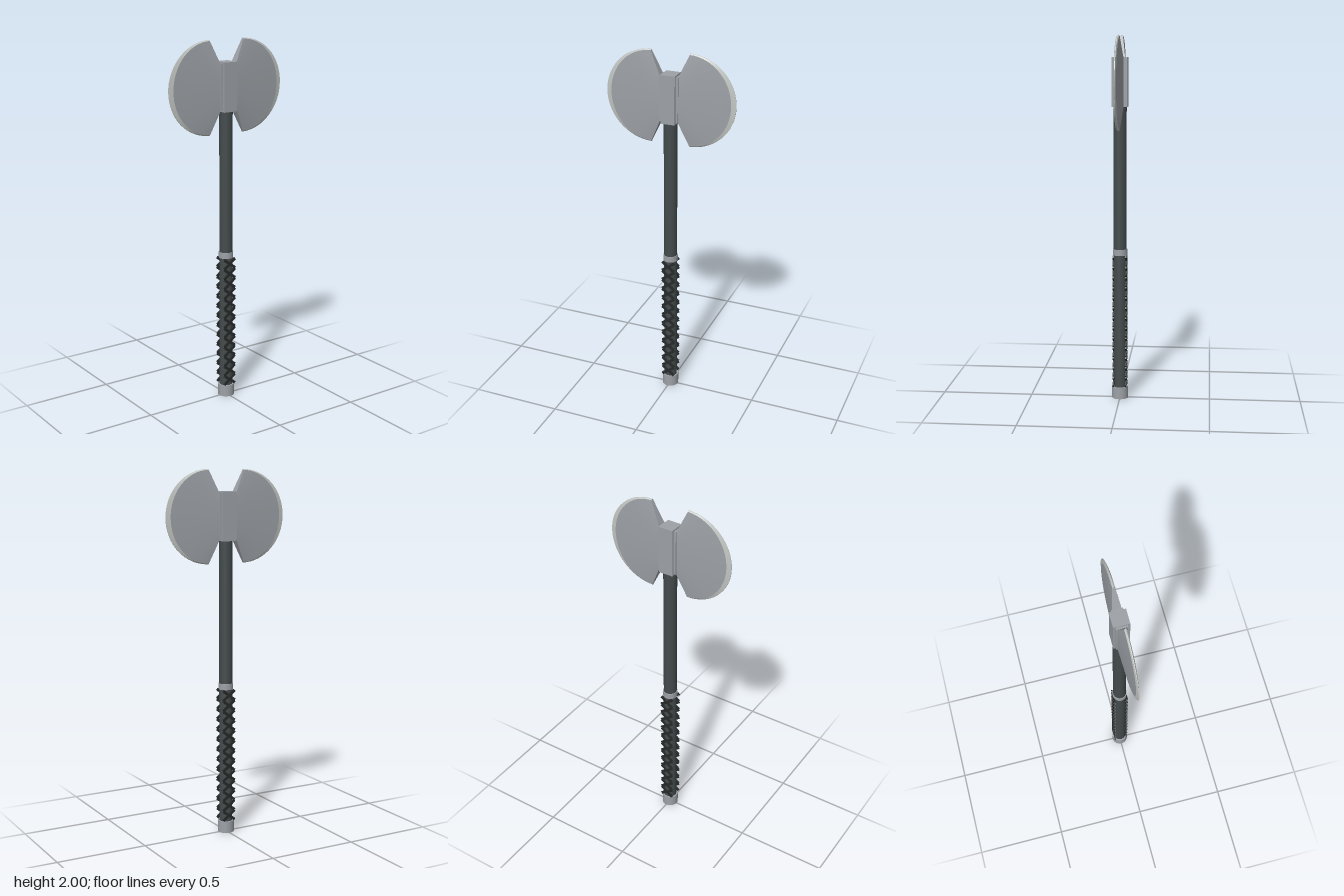
import * as THREE from 'three';

const mat = (name, color) => Object.assign(new THREE.MeshStandardMaterial({ color }), { name });

// Quads between two matching polylines
function strip(a, b) {
  const pos = [], idx = [];
  a.forEach((p, i) => {
    pos.push(...p, ...b[i]);
    if (i === 0) return;
    const k = 2 * (i - 1);
    idx.push(k, k + 2, k + 3, k, k + 3, k + 1);
  });
  const g = new THREE.BufferGeometry();
  g.setAttribute('position', new THREE.Float32BufferAttribute(pos, 3));
  g.setIndex(idx);
  g.computeVertexNormals();
  return g;
}

export function createModel() {
  const root = new THREE.Group();
  root.name = 'doubleAxe';
  const steel = mat('steel', 0x9da1a6);
  const edgeSteel = mat('edgeSteel', 0xc2c6c2);
  const wood = mat('darkShaft', 0x444b4c);
  const leather = mat('blackLeather', 0x272a2a);

  const add = (parent, name, geo, material, x = 0, y = 0, z = 0) => {
    const m = new THREE.Mesh(geo, material);
    m.name = name;
    m.position.set(x, y, z);
    parent.add(m);
    return m;
  };
  const rod = (name, r, y0, y1, material) =>
    add(root, name, new THREE.CylinderGeometry(r, r, y1 - y0, 32), material, 0, (y0 + y1) / 2);

  // Handle
  rod('shaft', 0.036, 0.03, 1.86, wood);
  rod('pommel', 0.045, 0, 0.065, steel);
  rod('collar', 0.04, 0.812, 0.845, steel);

  // Crossed grip straps on the front and back
  const straps = new THREE.Group();
  straps.name = 'gripStraps';
  root.add(straps);
  const count = 13, y0 = 0.07, pitch = (0.81 - y0) / count;
  const strapGeo = new THREE.BoxGeometry(0.088, 0.015, 0.008);
  for (let i = 0; i < count; i++)
    for (const side of [1, -1])
      for (const tilt of [1, -1])
        add(straps, 'gripStrap', strapGeo, leather, 0, y0 + (i + 0.5) * pitch, side * 0.035)
          .rotation.z = tilt * 0.65;

  // Socket that holds the blades
  add(root, 'socketFrontBack', new THREE.BoxGeometry(0.08, 0.262, 0.084), steel, 0, 1.752);
  add(root, 'socketSides', new THREE.BoxGeometry(0.104, 0.246, 0.06), steel, 0, 1.752);

  // Blade sections run from the socket to the half-round cutting edge
  const N = 32, root1 = [], bevel = [], edge = [];
  for (let i = 0; i <= N; i++) {
    const t = i / N, a = Math.PI * (0.5 - t);
    const c = Math.cos(a), s = Math.sin(a);
    root1.push([0.05, 1.872 - 0.242 * t, 0.024]);
    bevel.push([0.106 + 0.226 * c, 1.75 + 0.245 * s, 0.007]);
    edge.push([0.106 + 0.252 * c, 1.75 + 0.25 * s, 0.002]);
  }
  const back = (pts) => pts.map(([x, y, z]) => [x, y, -z]);
  const section = (i) => [root1[i], bevel[i], edge[i]];
  const parts = [
    ['bladeFront', strip(root1, bevel), steel],
    ['bladeBack', strip(back(bevel), back(root1)), steel],
    ['bladeTop', strip(section(0), back(section(0))), steel],
    ['bladeBottom', strip(back(section(N)), section(N)), steel],
    ['bevelFront', strip(bevel, edge), edgeSteel],
    ['bevelBack', strip(back(edge), back(bevel)), edgeSteel],
    ['cuttingEdge', strip(edge, back(edge)), edgeSteel],
  ];
  for (const [name, turn] of [['leftBlade', 0], ['rightBlade', Math.PI]]) {
    const blade = new THREE.Group();
    blade.name = name;
    blade.rotation.y = turn;
    for (const [part, geo, material] of parts) add(blade, part, geo, material);
    root.add(blade);
  }
  return root;
}
